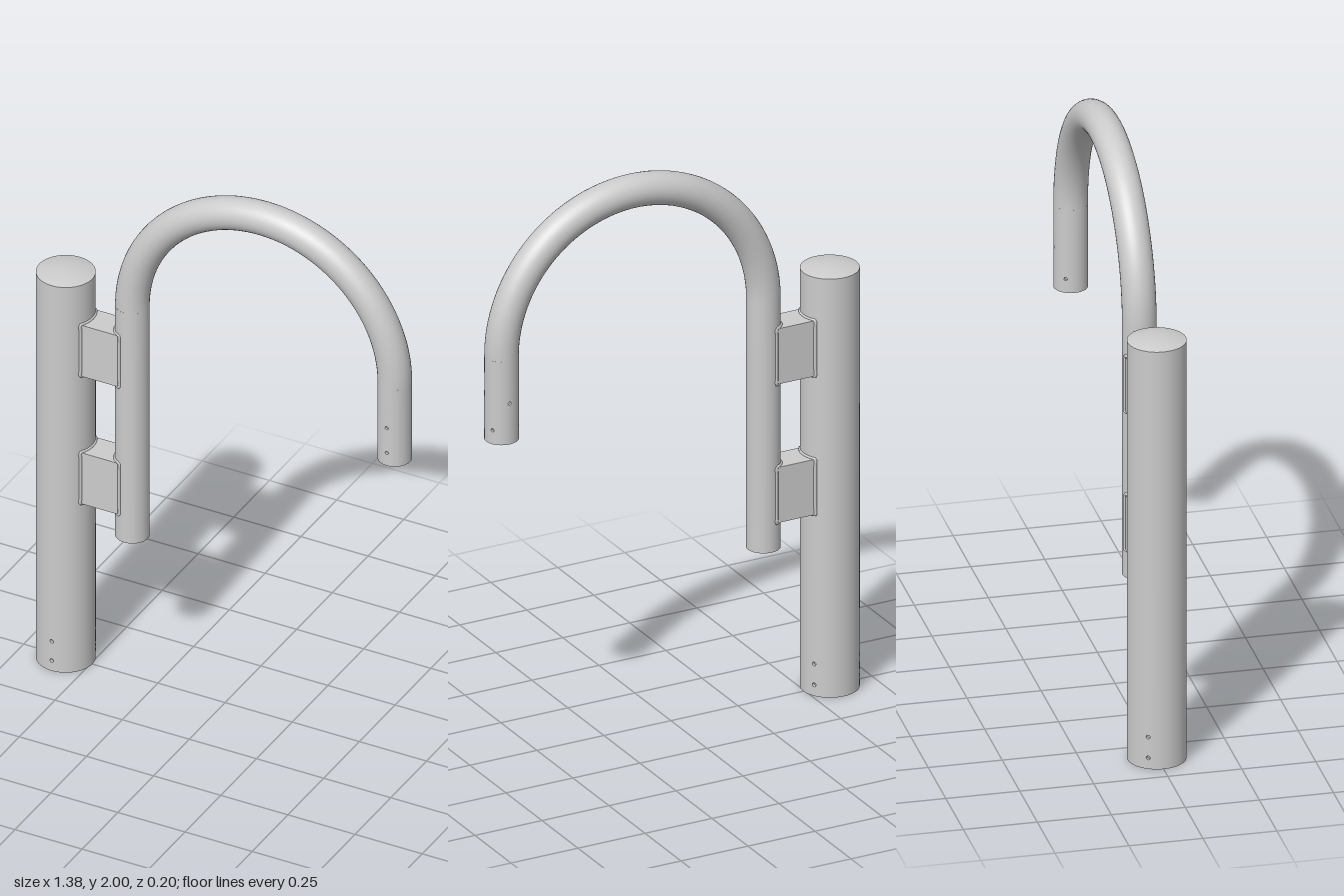
import * as THREE from 'three';
import { mergeGeometries } from 'three/addons/utils/BufferGeometryUtils.js';

const POST = { x: -0.593, r: 0.0985, h: 1.51, wall: 0.012 };
const PIPE = { r: 0.057, wall: 0.009, left: -0.345, right: 0.632, archY: 1.4545 };
const THIRDS = [0, 1 / 3, 2 / 3]; // turns around the axis, 0 faces +z
const HALVES = [0, 1 / 2];

const grey = new THREE.MeshStandardMaterial({ color: 0xcccccc });
const greyDouble = new THREE.MeshStandardMaterial({ color: 0xcccccc, side: THREE.DoubleSide });

function add(parent, name, geometry, x = 0, y = 0, material = grey) {
  const mesh = new THREE.Mesh(geometry, material);
  mesh.name = name;
  mesh.position.set(x, y, 0);
  parent.add(mesh);
  return mesh;
}

// Hollow upright tube made of wall staves bent around the axis, with real drilled holes.
// rows: [{ y, turns }]
function drilledTube(r, wall, height, staves, holeR, rows) {
  const w = (2 * Math.PI * r) / staves;
  const parts = [];
  for (let i = 0; i < staves; i++) {
    const shape = new THREE.Shape();
    shape.moveTo(-w / 2, 0).lineTo(0, 0).lineTo(w / 2, 0);
    shape.lineTo(w / 2, height).lineTo(0, height).lineTo(-w / 2, height);
    for (const row of rows) {
      if (!row.turns.some((t) => Math.round(t * staves) === i)) continue;
      shape.holes.push(new THREE.Path().absarc(0, row.y, holeR, 0, Math.PI * 2, true));
    }
    const g = new THREE.ExtrudeGeometry(shape, { depth: wall, bevelEnabled: false, curveSegments: 14 });
    const p = g.attributes.position, n = g.attributes.normal;
    for (let k = 0; k < p.count; k++) {
      const a = (i / staves) * Math.PI * 2 + p.getX(k) / r;
      const rad = r - wall + p.getZ(k);
      const s = Math.sin(a), c = Math.cos(a);
      const nx = n.getX(k), nz = n.getZ(k);
      p.setXYZ(k, rad * s, p.getY(k), rad * c);
      n.setXYZ(k, nx * c + nz * s, n.getY(k), nz * c - nx * s);
    }
    parts.push(g);
  }
  return mergeGeometries(parts);
}

// Spacer block whose ends are scooped to fit the post and the pipe
function bracketGeometry(half, height) {
  const a = Math.asin(half / POST.r), b = Math.asin(half / PIPE.r);
  const shape = new THREE.Shape();
  shape.absarc(POST.x, 0, POST.r, a, -a, true);
  shape.absarc(PIPE.left, 0, PIPE.r, Math.PI + b, Math.PI - b, true);
  const g = new THREE.ExtrudeGeometry(shape, { depth: height, bevelEnabled: false, curveSegments: 16 });
  return g.rotateX(-Math.PI / 2);
}

// Weld bead: a rectangle wrapped onto a cylinder; side is +1 or -1 along x
function weldGeometry(r, side, half, height) {
  const pts = [];
  const put = (z, y) => {
    const zz = Math.max(-r, Math.min(r, z));
    pts.push(new THREE.Vector3(side * Math.sqrt(r * r - zz * zz), y, zz));
  };
  const n = 8;
  for (let i = 0; i < n; i++) put(-half + (2 * half * i) / n, 0);
  for (let i = 0; i < n; i++) put(half, (height * i) / n);
  for (let i = 0; i < n; i++) put(half - (2 * half * i) / n, height);
  for (let i = 0; i < n; i++) put(-half, height - (height * i) / n);
  return new THREE.TubeGeometry(new THREE.CatmullRomCurve3(pts, true), 96, 0.006, 6, true);
}

export function createModel() {
  const model = new THREE.Group();
  model.name = 'curvedPipeOnPost';

  // Ground post with two rows of fixing holes and a shallow domed cap
  const post = new THREE.Group();
  post.name = 'post';
  post.position.x = POST.x;
  model.add(post);
  add(post, 'postTube', drilledTube(POST.r, POST.wall, POST.h, 36, 0.007,
    [{ y: 0.04, turns: THIRDS }, { y: 0.115, turns: THIRDS }]));
  const dome = [];
  for (let i = 0; i <= 8; i++) {
    const t = i / 8;
    dome.push(new THREE.Vector2(POST.r * (1 - t), POST.h + 0.015 * (1 - (1 - t) ** 2)));
  }
  add(post, 'postCap', new THREE.LatheGeometry(dome, 48), 0, 0, greyDouble);

  // Bent pipe: long leg, half-circle arch, short drilled leg
  const pipe = new THREE.Group();
  pipe.name = 'bentPipe';
  model.add(pipe);
  const legs = [
    { name: 'longLeg', x: PIPE.left, y: 0.555, rows: [] },
    { name: 'shortLeg', x: PIPE.right, y: 1.155,
      rows: [{ y: 0.05, turns: THIRDS }, { y: 0.147, turns: HALVES }] },
  ];
  for (const leg of legs) {
    add(pipe, leg.name, drilledTube(PIPE.r, PIPE.wall, PIPE.archY - leg.y, 24, 0.006, leg.rows), leg.x, leg.y);
  }
  const archX = (PIPE.left + PIPE.right) / 2;
  const archR = (PIPE.right - PIPE.left) / 2;
  add(pipe, 'archOuter', new THREE.TorusGeometry(archR, PIPE.r, 32, 72, Math.PI), archX, PIPE.archY);
  const inside = new THREE.MeshStandardMaterial({ color: 0xcccccc, side: THREE.BackSide });
  add(pipe, 'archInner', new THREE.TorusGeometry(archR, PIPE.r - PIPE.wall, 24, 72, Math.PI),
    archX, PIPE.archY, inside);

  // Two welded brackets join the pipe to the post
  const half = 0.053, height = 0.2;
  for (const [i, y] of [0.655, 1.155].entries()) {
    const bracket = new THREE.Group();
    bracket.name = i ? 'upperBracket' : 'lowerBracket';
    bracket.position.y = y;
    model.add(bracket);
    add(bracket, 'bracketBlock', bracketGeometry(half, height));
    add(bracket, 'postWeld', weldGeometry(POST.r, 1, half, height), POST.x);
    add(bracket, 'pipeWeld', weldGeometry(PIPE.r, -1, half, height), PIPE.left);
  }

  return model;
}
